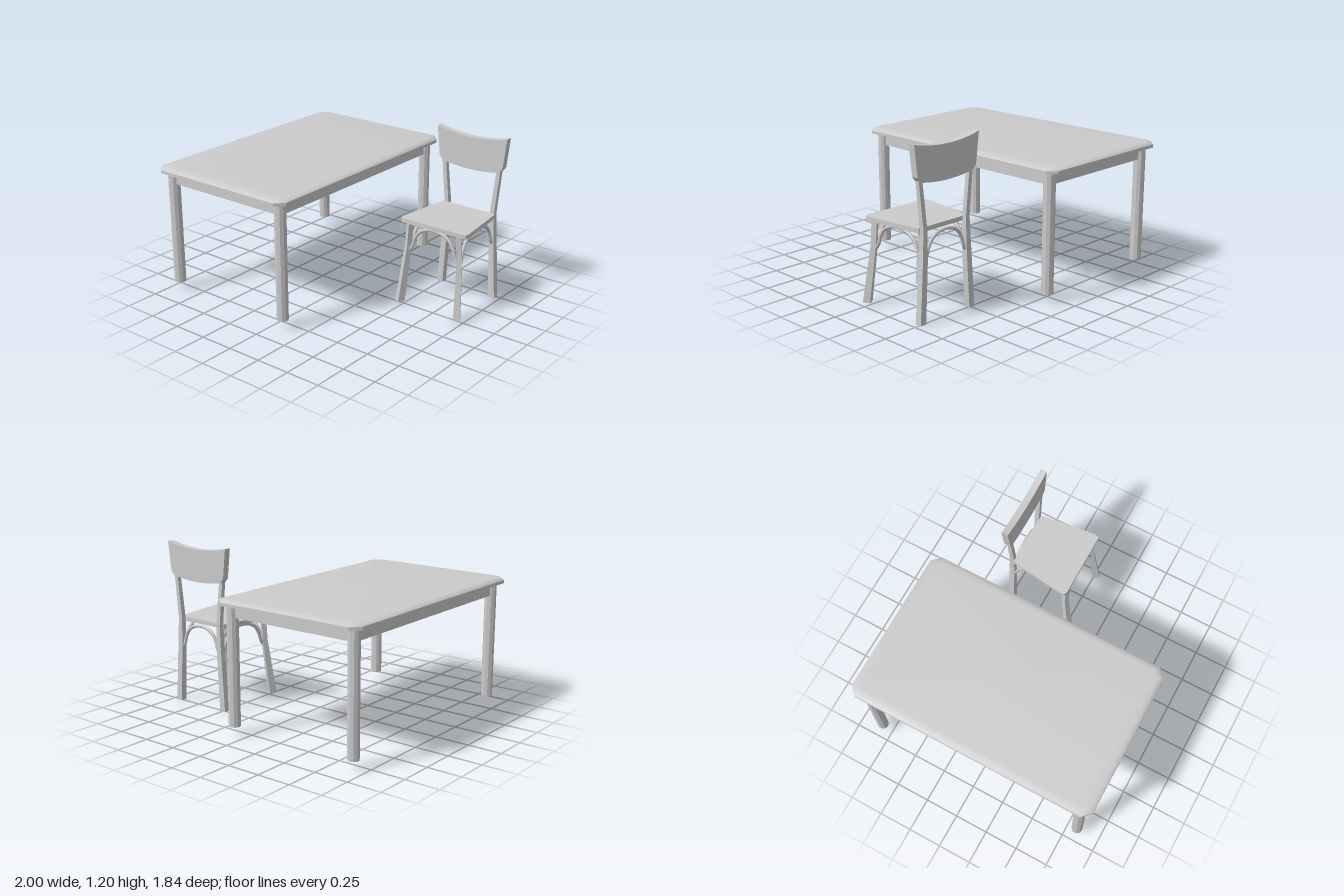
import * as THREE from 'three';
import { toCreasedNormals } from 'three/addons/utils/BufferGeometryUtils.js';

const material = new THREE.MeshStandardMaterial({ color: 0xcccccc });

function add(group, name, geometry, x = 0, y = 0, z = 0) {
  const mesh = new THREE.Mesh(geometry, material);
  mesh.name = name;
  mesh.position.set(x, y, z);
  group.add(mesh);
  return mesh;
}

// Rectangle with cut corners, as a loop of eight points [x, z]
function cutCorners(hx, hz, c) {
  return [[hx, hz - c], [hx - c, hz], [c - hx, hz], [-hx, hz - c],
    [-hx, c - hz], [c - hx, -hz], [hx - c, -hz], [hx, c - hz]];
}

// Closed solid through equal loops of [x, z], each at its own height (bottom to top)
function loft(rings) {
  const pos = [], index = [], n = rings[0].loop.length;
  rings.forEach(r => r.loop.forEach(([x, z]) => pos.push(x, r.y, z)));
  for (let r = 0; r < rings.length - 1; r++) {
    for (let i = 0; i < n; i++) {
      const a = r * n + i, b = r * n + (i + 1) % n;
      index.push(a, a + n, b, b, a + n, b + n);
    }
  }
  const top = (rings.length - 1) * n;
  for (let i = 1; i < n - 1; i++) {
    index.push(0, i, i + 1, top, top + i + 1, top + i);
  }
  const g = new THREE.BufferGeometry();
  g.setAttribute('position', new THREE.Float32BufferAttribute(pos, 3));
  g.setIndex(index);
  // Loops run from +x towards +z
  return toCreasedNormals(g, 0.6);
}

// Rectangular bar through sections { x, y, z, w, d }, turned by angle about y
function bar(sections, angle = 0) {
  const c = Math.cos(angle), s = Math.sin(angle);
  return loft(sections.map(p => ({
    y: p.y,
    loop: [[1, -1], [1, 1], [-1, 1], [-1, -1]].map(([u, v]) => {
      const a = u * p.w / 2, b = v * p.d / 2;
      return [p.x + a * c + b * s, p.z - a * s + b * c];
    }),
  })));
}

function createTable() {
  const table = new THREE.Group();
  table.name = 'table';
  const hx = 0.585, hz = 0.92, legX = 0.5, legZ = 0.825;

  // Top with cut corners and a rounded upper edge
  const profile = [[0, 0.92], [0, 0.942], [0.012, 0.953], [0.03, 0.96], [0.055, 0.963]];
  add(table, 'tableTop', loft(profile.map(([d, y]) => ({
    y, loop: cutCorners(hx - d, hz - d, 0.06 - d * 0.4),
  }))));

  // Legs and apron boards
  const leg = new THREE.CylinderGeometry(0.042, 0.042, 0.85, 10);
  const legFlat = toCreasedNormals(leg, 0.3);
  for (const s of [1, -1]) {
    for (const t of [1, -1]) add(table, 'tableLeg', legFlat, s * legX, 0.495, t * legZ);
    add(table, 'sideApron', new THREE.BoxGeometry(0.03, 0.09, legZ * 2), s * legX, 0.875, 0);
    add(table, 'endApron', new THREE.BoxGeometry(legX * 2, 0.09, 0.03), 0, 0.875, s * legZ);
  }
  table.position.x = -0.415;
  return table;
}

// Bentwood arch from a to b, both [x, z], below the seat
function arch(a, b) {
  const half = [[0, 0.41], [0.05, 0.435], [0.11, 0.505], [0.19, 0.555], [0.32, 0.587]];
  const shape = [...half, [0.5, 0.598], ...half.map(([t, y]) => [1 - t, y]).reverse()];
  const curve = new THREE.CatmullRomCurve3(shape.map(([t, y]) => new THREE.Vector3(
    a[0] + (b[0] - a[0]) * t, y, a[1] + (b[1] - a[1]) * t)));
  return new THREE.TubeGeometry(curve, 36, 0.012, 8);
}

function createChair() {
  const chair = new THREE.Group();
  chair.name = 'chair';

  // Seat: tapers to the back, front corners cut
  add(chair, 'seat', loft([0.61, 0.641].map(y => ({
    y,
    loop: [[0.271, -0.045], [0.265, -0.02], [0.245, -0.01], [-0.245, -0.01], [-0.265, -0.02],
      [-0.271, -0.045], [-0.222, -0.44], [-0.212, -0.475], [0.212, -0.475], [0.222, -0.44]],
  }))));

  for (const s of [1, -1]) {
    // Splayed front leg, turned outwards
    add(chair, 'frontLeg', bar([
      { x: s * 0.24, y: 0.02, z: 0.015, w: 0.048, d: 0.052 },
      { x: s * 0.212, y: 0.44, z: -0.036, w: 0.036, d: 0.038 },
      { x: s * 0.198, y: 0.615, z: -0.033, w: 0.034, d: 0.036 },
    ], s * 0.5));
    // Back leg continues up as the backrest post
    add(chair, 'backLeg', bar([
      { x: s * 0.222, y: 0, z: -0.491, w: 0.048, d: 0.048 },
      { x: s * 0.195, y: 0.45, z: -0.491, w: 0.042, d: 0.042 },
      { x: s * 0.19, y: 0.64, z: -0.49, w: 0.033, d: 0.036 },
      { x: s * 0.226, y: 0.99, z: -0.49, w: 0.03, d: 0.03 },
    ]));
    add(chair, 'sideArch', arch([s * 0.205, -0.045], [s * 0.197, -0.485]));
  }
  add(chair, 'frontArch', arch([-0.2, -0.036], [0.2, -0.036]));
  add(chair, 'backArch', arch([-0.19, -0.49], [0.19, -0.49]));

  // Backrest board with dipped top and bottom edges
  const board = new THREE.Shape();
  board.moveTo(-0.283, 1.2);
  board.lineTo(-0.258, 0.985);
  board.lineTo(-0.232, 0.952);
  board.quadraticCurveTo(0, 0.908, 0.232, 0.952);
  board.lineTo(0.258, 0.985);
  board.lineTo(0.283, 1.2);
  board.quadraticCurveTo(0, 1.13, -0.283, 1.2);
  const rest = new THREE.ExtrudeGeometry(board, { depth: 0.05, bevelEnabled: false, curveSegments: 16 });
  add(chair, 'backrest', toCreasedNormals(rest, 0.4), 0, 0, -0.517);

  chair.position.x = 0.717;
  return chair;
}

export function createModel() {
  const model = new THREE.Group();
  model.name = 'tableAndChair';
  model.add(createTable(), createChair());
  return model;
}
